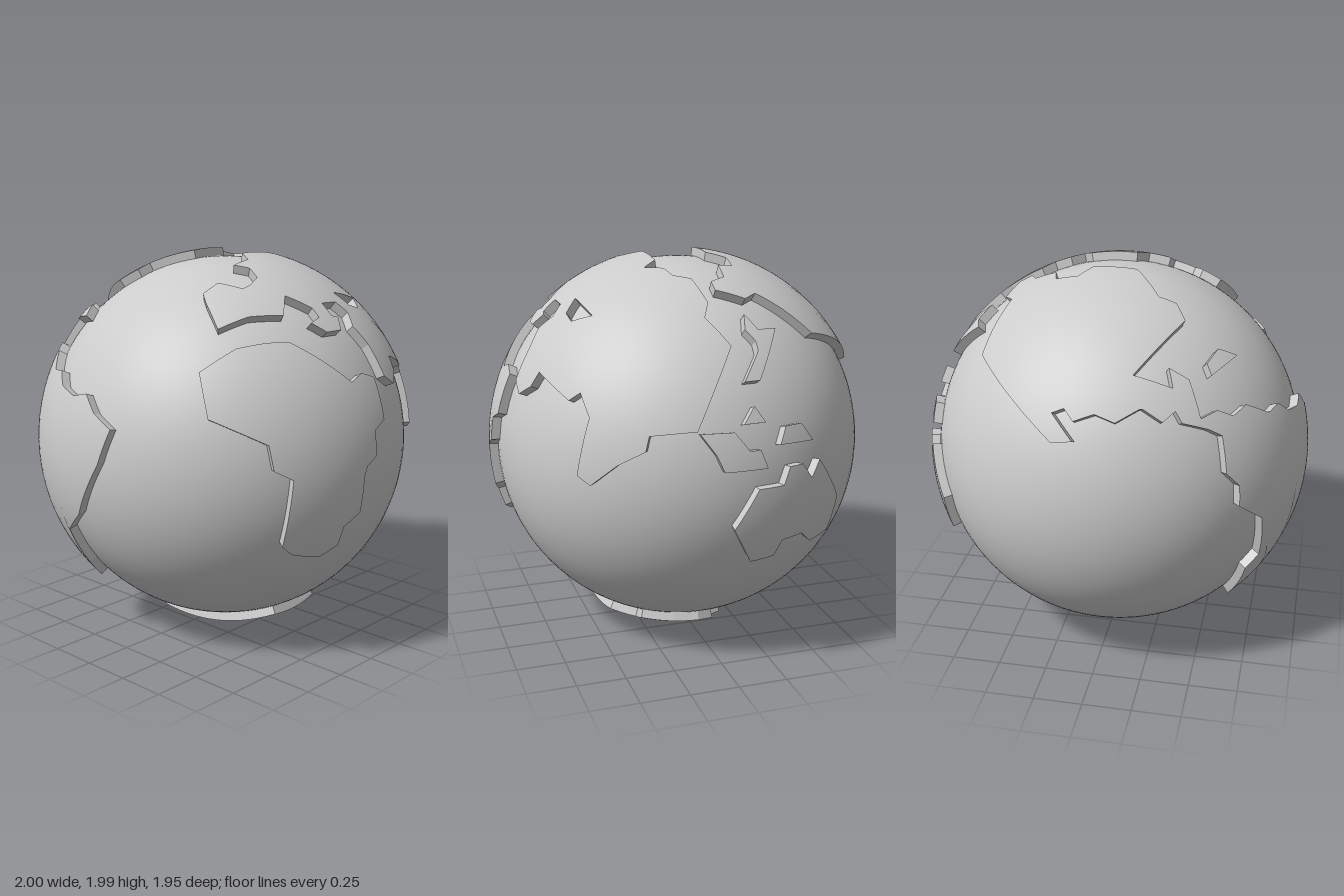
import * as THREE from 'three';

const OCEAN = 0.955, LAND = 1, STEPS = 16;

// Turns flat u,v pairs, drawn on a disc facing (azimuth, elevation) in degrees, into unit directions
function trace(azimuth, elevation, uv) {
  const a = THREE.MathUtils.degToRad(azimuth), e = THREE.MathUtils.degToRad(elevation);
  const right = new THREE.Vector3(Math.cos(a), 0, -Math.sin(a));
  const up = new THREE.Vector3(-Math.sin(e) * Math.sin(a), Math.cos(e), -Math.sin(e) * Math.cos(a));
  const out = new THREE.Vector3().crossVectors(right, up);
  const points = [];
  for (let i = 0; i < uv.length; i += 2) {
    const w = Math.sqrt(Math.max(0, 1 - uv[i] ** 2 - uv[i + 1] ** 2));
    points.push(new THREE.Vector3().addScaledVector(right, uv[i])
      .addScaledVector(up, uv[i + 1]).addScaledVector(out, w).normalize());
  }
  return points;
}
const front = (uv) => trace(0, 0, uv);
const side = (uv) => trace(90, 0, uv);
const top = (uv) => trace(0, 90, uv);
const bottom = (uv) => trace(0, -90, uv);
const frontCorner = (uv) => trace(35, 25, uv);
const backCorner = (uv) => trace(215, 25, uv);

// Raised plate on the sphere: curved top plus radial walls along the coast and any lakes
function landGeometry(outline, lakes = []) {
  const centre = outline.reduce((s, p) => s.add(p), new THREE.Vector3()).normalize();
  const e1 = new THREE.Vector3(0.31, 0.17, 0.93).cross(centre).normalize();
  const e2 = new THREE.Vector3().crossVectors(centre, e1);
  const flatten = (p) => {
    const x = p.dot(e1), y = p.dot(e2), l = Math.hypot(x, y) || 1;
    const angle = Math.acos(THREE.MathUtils.clamp(p.dot(centre), -1, 1));
    return new THREE.Vector2(x / l * angle, y / l * angle);
  };
  const wind = (ring, clockwise) =>
    THREE.ShapeUtils.isClockWise(ring.map(flatten)) === clockwise ? ring : [...ring].reverse();
  const outer = wind(outline, false), holes = lakes.map((l) => wind(l, true));
  const all = [outer, ...holes].flat();
  const pos = [], nor = [];
  const add = (p, r, n) => {
    pos.push(p.x * r, p.y * r, p.z * r);
    nor.push(n.x, n.y, n.z);
  };

  // curved top
  const mix = (a, b) => a.clone().add(b).normalize();
  const split = (a, b, c, size) => {
    if (size === 1) {
      for (const p of [a, b, c]) add(p, LAND, p);
      return;
    }
    const ab = mix(a, b), bc = mix(b, c), ca = mix(c, a), h = size / 2;
    split(a, ab, ca, h);
    split(ab, b, bc, h);
    split(ca, bc, c, h);
    split(ab, bc, ca, h);
  };
  const faces = THREE.ShapeUtils.triangulateShape(outer.map(flatten), holes.map((h) => h.map(flatten)));
  for (const [i, j, k] of faces) {
    const a = all[i], b = all[j], c = all[k];
    if (a.clone().cross(b).dot(c) >= 0) split(a, b, c, STEPS);
    else split(a, c, b, STEPS);
  }

  // coast walls
  const wall = (a, b, size) => {
    if (size > 1) {
      const m = mix(a, b);
      wall(a, m, size / 2);
      wall(m, b, size / 2);
      return;
    }
    const n = new THREE.Vector3().crossVectors(b, a).normalize(), low = OCEAN - 0.02;
    add(a, low, n); add(b, low, n); add(b, LAND, n);
    add(a, low, n); add(b, LAND, n); add(a, LAND, n);
  };
  for (const ring of [outer, ...holes]) {
    ring.forEach((p, i) => wall(p, ring[(i + 1) % ring.length], STEPS));
  }
  const g = new THREE.BufferGeometry();
  g.setAttribute('position', new THREE.Float32BufferAttribute(pos, 3));
  g.setAttribute('normal', new THREE.Float32BufferAttribute(nor, 3));
  return g;
}

export function createModel() {
  const globe = new THREE.Group();
  globe.name = 'globe';
  const material = new THREE.MeshStandardMaterial({ color: 0xcccccc });
  const addPart = (name, geometry) => {
    const mesh = new THREE.Mesh(geometry, material);
    mesh.name = name;
    mesh.position.y = 1;
    globe.add(mesh);
  };

  addPart('ocean', new THREE.SphereGeometry(OCEAN, 96, 64));

  addPart('africa', landGeometry(front([
    -.75, .30, -.71, .50, -.55, .60, -.43, .62, -.33, .62, -.09, .42, 0, .45, .09, .42, .09, .22, 0, .18,
    0, .06, -.09, .01, -.09, -.21, -.18, -.27, -.18, -.37, -.27, -.42, -.42, -.38, -.48, -.33, -.48, .01,
    -.56, .06, -.57, .18])));

  // south coast, east coast, north coast, then the inland sea
  addPart('eurasia', landGeometry([
    ...front([
      -.56, .68, -.42, .73, -.27, .73, -.18, .81, -.09, .75, -.09, .71, -.16, .69, -.10, .645, 0, .645,
      .04, .70, 0, .71, 0, .765, .11, .76, .15, .71, .11, .65, .16, .56, .19, .41, .27, .36, .34, .41,
      .35, .48, .58, .39, .61, .43, .69, .33, .70, .06, .75, .02]),
    ...side([-.55, .13, -.43, .20, -.41, .27, -.20, .29, .02, .64]),
    ...top([
      .65, -.07, .58, -.03, .42, -.06, .37, -.14, .29, -.16, .235, -.245, .18, -.17, -.06, -.17,
      -.11, -.255, -.22, -.26, -.18, -.33, -.22, -.43, -.33, -.42, -.385, -.31, -.48, -.30, -.51, -.35]),
  ], [frontCorner([-.19, .48, 0, .395, -.11, .35, -.18, .39])]));

  // Arctic and west coast, then the southern coast, isthmus and gulf
  addPart('northAmerica', landGeometry([
    ...top([
      -.25, .31, -.11, .12, .11, .12, .17, .21, .28, .20, .30, .12, .41, .11, .45, .03, .51, .03,
      .55, .17, .50, .24, .58, .51]),
    ...backCorner([
      -.64, .075, -.56, .065, -.61, .21, -.56, .22, -.54, .155, -.45, .17, -.375, .115, -.25, .16,
      -.17, .08, -.10, .12, -.08, .06, .045, .01, .015, .065, .005, .25, -.075, .32, -.085, .225,
      -.245, .315]),
    ...top([-.39, .39, -.335, .31]),
  ]));

  addPart('southAmerica', landGeometry(backCorner([
    .045, .01, .11, -.03, .11, -.21, .18, -.28, .18, -.38, .335, -.47, .375, -.67, .30, -.73, .31, -.885,
    .41, -.875, .50, -.80, .58, -.65, .74, -.49, .87, -.17, .88, .02, .81, .035, .74, .085, .685, .03,
    .58, .02, .50, .065, .42, .03, .28, .09, .19, .05, .11, .09, .015, .065])));

  addPart('antarctica', landGeometry(bottom([
    .40, .32, .295, .32, .225, .44, -.13, .475, -.22, .34, -.30, -.17, -.083, -.23, -.01, -.174,
    .18, -.143, .27, -.16, .304, -.07, .406, -.07, .45, .02, .44, .156])));

  addPart('australia', landGeometry(side([
    -.03, -.19, .085, .005, .215, .005, .25, .09, .325, .09, .38, .01, .43, .09, .575, -.14,
    .54, -.325, .42, -.35, .35, -.28, .235, -.29, .20, -.375, .075, -.385])));

  // islands
  addPart('caribbeanIsland', landGeometry(backCorner([.12, .31, .21, .37, .31, .325, .125, .25])));
  addPart('japan', landGeometry(side([
    .05, .49, .13, .49, .28, .69, .18, .695, .13, .76, .11, .70, .15, .65, .15, .61])));
  addPart('smallPacificIsland', landGeometry(side([.02, .31, .08, .385, .13, .31])));
  addPart('eastPacificIsland', landGeometry(side([.20, .20, .235, .28, .325, .28, .39, .19])));
  addPart('indonesia', landGeometry(side([
    -.19, .28, -.03, .28, .04, .19, .095, .19, .13, .10, -.085, .10, -.12, .18])));

  return globe;
}
